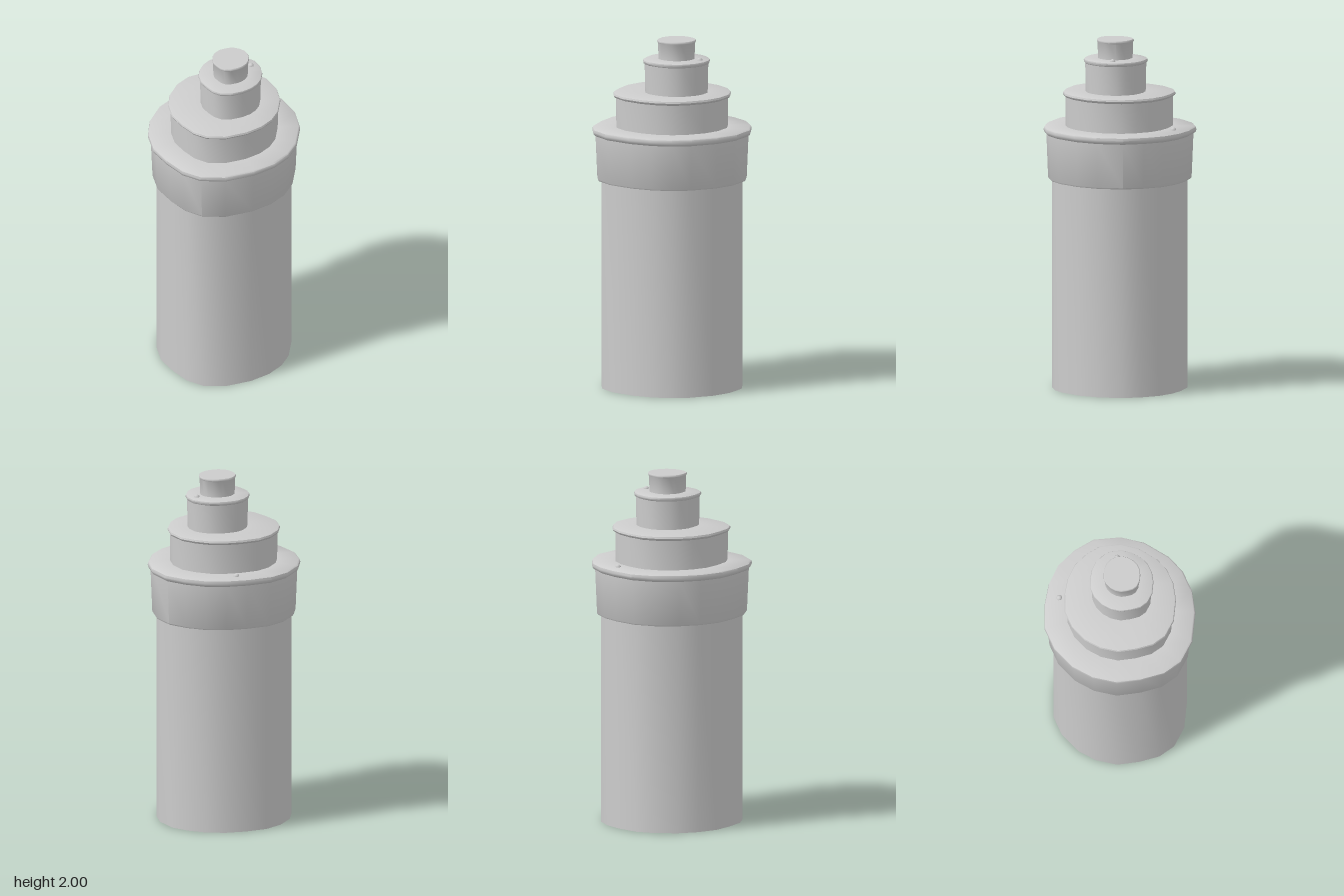
import * as THREE from 'three';
import { toCreasedNormals } from 'three/addons/utils/BufferGeometryUtils.js';

// Irregular 20-sided plan shared by every tier (x, z), clockwise from above
const PLAN = [
  [-0.19, -0.405], [-0.045, -0.433], [0.08, -0.433], [0.2, -0.402], [0.305, -0.33],
  [0.39, -0.235], [0.433, -0.085], [0.425, 0.055], [0.365, 0.21], [0.295, 0.3],
  [0.195, 0.37], [0.065, 0.415], [-0.11, 0.43], [-0.245, 0.39], [-0.33, 0.31],
  [-0.39, 0.19], [-0.435, 0.055], [-0.43, -0.085], [-0.388, -0.21], [-0.3, -0.33],
];

const material = new THREE.MeshStandardMaterial({ color: 0xcccccc, side: THREE.DoubleSide });

// Skin a stack of scaled plans; each ring is [scale, y, centreX]
function loft(name, rings) {
  const positions = [];
  const point = ([scale, y, cx = 0], j) => {
    const [x, z] = PLAN[j % PLAN.length];
    return [cx + x * scale, y, z * scale];
  };
  for (let i = 0; i < rings.length - 1; i++) {
    for (let j = 0; j < PLAN.length; j++) {
      const a = point(rings[i], j), d = point(rings[i], j + 1);
      const b = point(rings[i + 1], j), c = point(rings[i + 1], j + 1);
      if (rings[i + 1][0] > 0) positions.push(...a, ...b, ...c);
      positions.push(...a, ...c, ...d);
    }
  }
  const geometry = new THREE.BufferGeometry();
  geometry.setAttribute('position', new THREE.Float32BufferAttribute(positions, 3));
  const mesh = new THREE.Mesh(toCreasedNormals(geometry, 0.7), material);
  mesh.name = name;
  return mesh;
}

// Small round stud half sunk into a ledge
function stud(name, x, y, z) {
  const mesh = new THREE.Mesh(new THREE.SphereGeometry(0.017, 8, 6), material);
  mesh.name = name;
  mesh.position.set(x, y, z);
  return mesh;
}

export function createModel() {
  const group = new THREE.Group();
  group.name = 'steppedTower';
  const cx = 0.034; // the two upper tiers sit off centre

  // Hollow shaft, open at the bottom
  group.add(loft('shaft', [[0.885, 0], [0.885, 1.2]]));

  // Flared collar with a rounded lip and a ledge running in to the next tier
  group.add(loft('collar', [
    [0.885, 1.197], [0.925, 1.197], [0.938, 1.205], [0.962, 1.456],
    [0.988, 1.464], [1, 1.478], [0.993, 1.492], [0.975, 1.498], [0.7, 1.5],
  ]));

  group.add(loft('middleTier', [
    [0.7, 1.5], [0.705, 1.67], [0.727, 1.675], [0.738, 1.684],
    [0.73, 1.694], [0.715, 1.697], [0.392, 1.7, cx],
  ]));

  group.add(loft('upperTier', [
    [0.392, 1.7, cx], [0.4, 1.865, cx], [0.415, 1.871, cx], [0.42, 1.879, cx],
    [0.413, 1.887, cx], [0.4, 1.89, cx], [0.227, 1.892, cx],
  ]));

  group.add(loft('topCap', [
    [0.227, 1.892, cx], [0.232, 1.982, cx], [0.243, 1.989, cx],
    [0.242, 1.996, cx], [0.235, 2, cx], [0, 2, cx],
  ]));

  group.add(stud('collarStud', 0.007, 1.497, -0.358));
  group.add(stud('upperTierStud', 0.165, 1.888, -0.053));
  return group;
}
